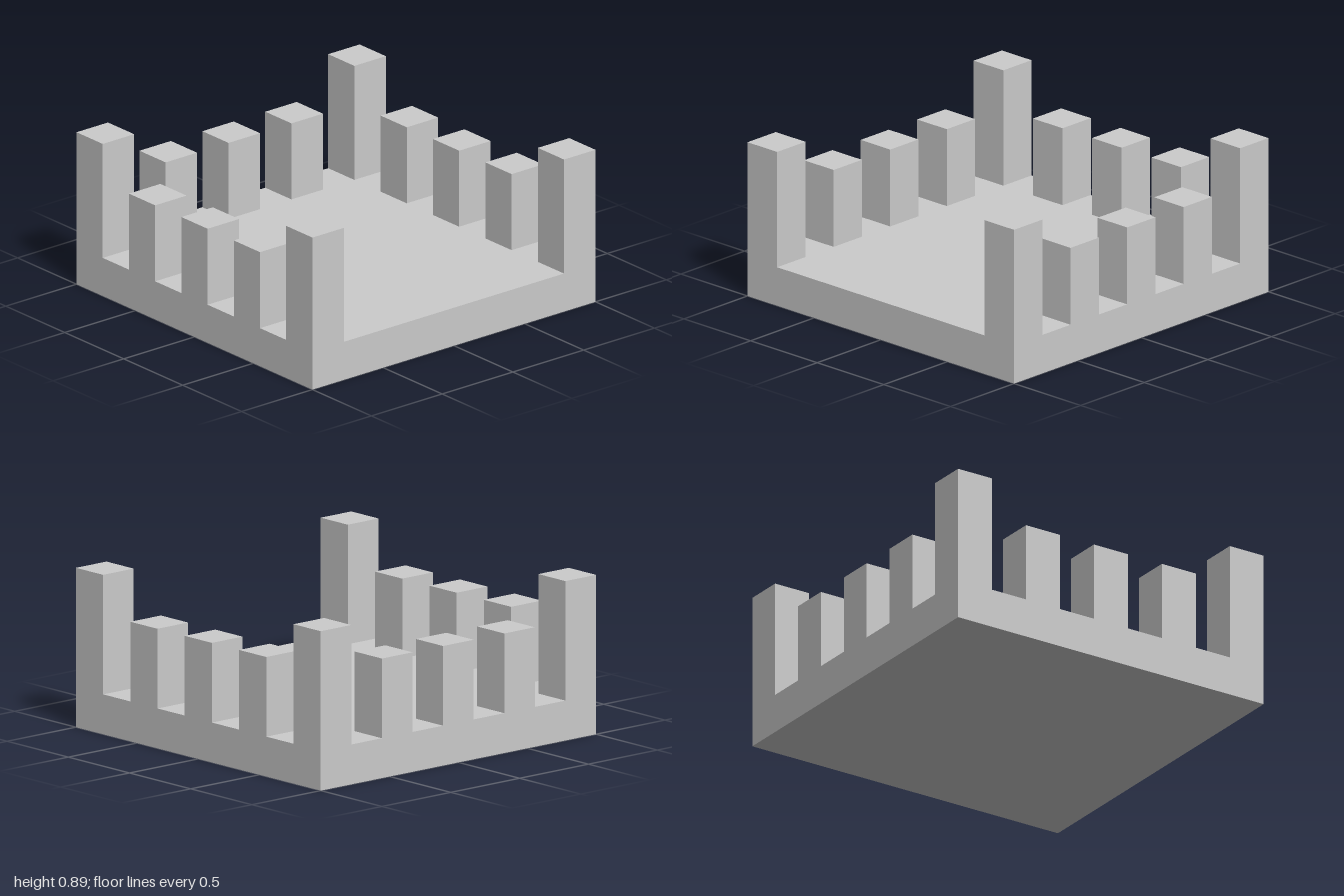
import * as THREE from 'three';

export function createModel() {
  const model = new THREE.Group();
  model.name = 'courtyard';
  const material = new THREE.MeshStandardMaterial({ color: 0xcccccc, flatShading: true });
  const unit = 2 / 9; // the whole design sits on a 9 x 9 grid

  // Box given in grid units, standing on height y
  function addBox(name, width, height, depth, x, y, z) {
    const geometry = new THREE.BoxGeometry(width * unit, height * unit, depth * unit);
    const mesh = new THREE.Mesh(geometry, material);
    mesh.name = name;
    mesh.position.set(x * unit, (y + height / 2) * unit, z * unit);
    model.add(mesh);
  }

  // Square floor slab
  addBox('floor', 9, 1, 9, 0, 0, 0);

  // Tall posts at the four corners
  for (const x of [-4, 4]) {
    for (const z of [-4, 4]) addBox('cornerPost', 1, 3, 1, x, 1, z);
  }

  // Short posts along front, back and right; the left side stays open
  for (const offset of [-2, 0, 2]) {
    addBox('frontPost', 1, 2, 1, offset, 1, 4);
    addBox('backPost', 1, 2, 1, offset, 1, -4);
    addBox('rightPost', 1, 2, 1, -4, 1, offset);
  }

  return model;
}
